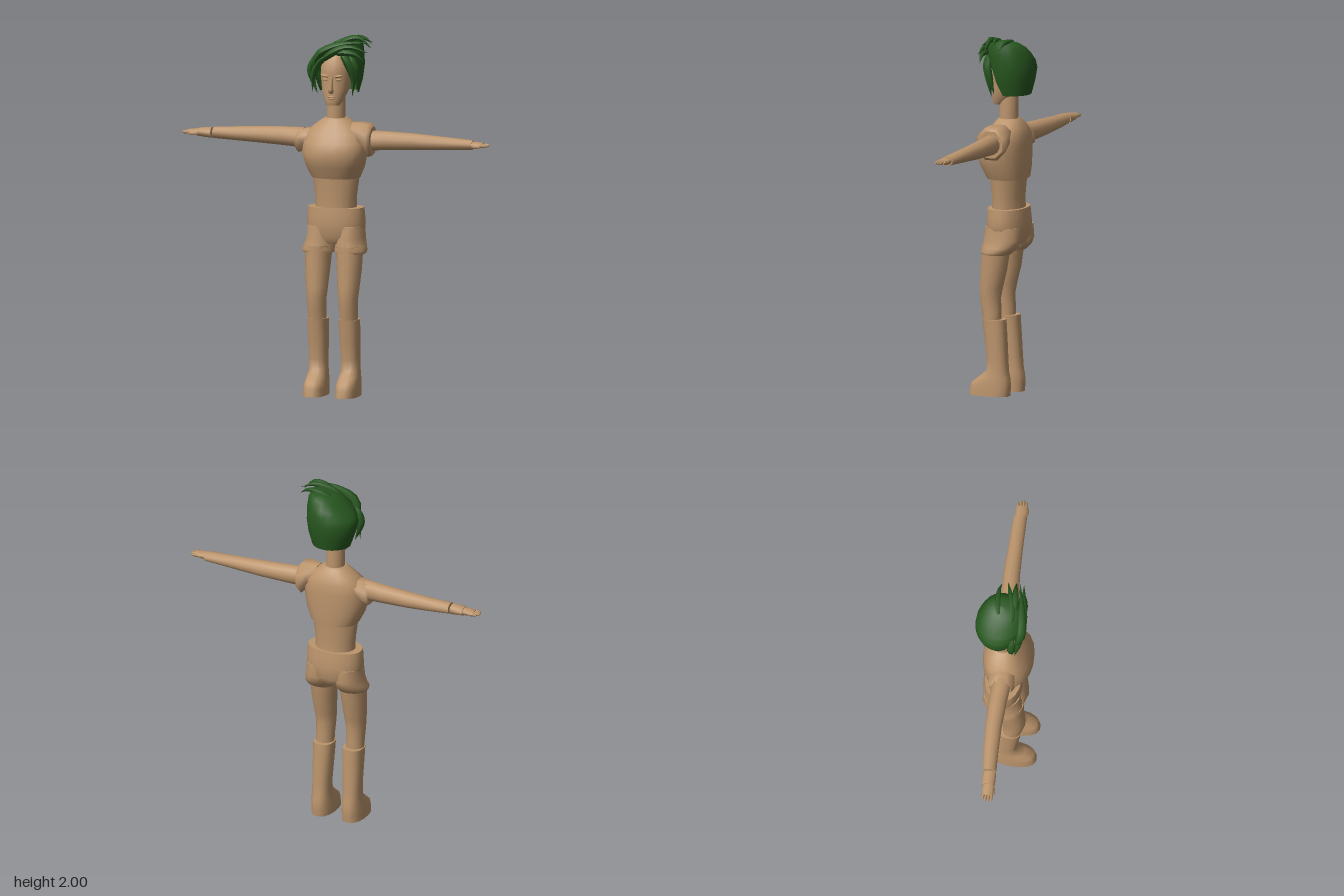
import * as THREE from 'three';

const skin = new THREE.MeshStandardMaterial({ color: 0xbb946c });
skin.name = 'tan skin';
const green = new THREE.MeshStandardMaterial({ color: 0x27561f, side: THREE.DoubleSide });
green.name = 'dark green hair';

// Closed loft. Each ring is [position on axis, a0, a1, z0, z1];
// a is x when the axis is y, and y when the axis is x.
function loft(rings, { axis = 'y', n = 16, power = 2, mirror = 1 } = {}) {
  const pos = [], idx = [];
  const put = (t, a, z) => (axis === 'y' ? pos.push(a * mirror, t, z) : pos.push(t * mirror, a, z));
  const curve = (v) => Math.sign(v) * Math.abs(v) ** (2 / power);
  const ring = ([t, a0, a1, z0, z1]) => {
    for (let i = 0; i < n; i++) {
      const q = ((i + 0.5) / n) * Math.PI * 2;
      put(t, (a0 + a1) / 2 + ((a1 - a0) / 2) * curve(Math.cos(q)),
        (z0 + z1) / 2 + ((z1 - z0) / 2) * curve(Math.sin(q)));
    }
  };
  rings.forEach(ring);
  for (let r = 0; r < rings.length - 1; r++) for (let i = 0; i < n; i++) {
    const a = r * n + i, b = r * n + ((i + 1) % n);
    idx.push(a, a + n, b, b, a + n, b + n);
  }
  // end caps have their own corners, so their edges stay sharp
  [rings[0], rings[rings.length - 1]].forEach((g, end) => {
    const s = pos.length / 3;
    ring(g);
    put(g[0], (g[1] + g[2]) / 2, (g[3] + g[4]) / 2);
    for (let i = 0; i < n; i++) {
      const a = s + i, b = s + ((i + 1) % n);
      end ? idx.push(s + n, b, a) : idx.push(s + n, a, b);
    }
  });
  // turn the faces outwards
  const P = (i) => new THREE.Vector3().fromArray(pos, i * 3);
  let volume = 0;
  for (let i = 0; i < idx.length; i += 3) volume += P(idx[i]).dot(P(idx[i + 1]).cross(P(idx[i + 2])));
  if (volume < 0) idx.reverse();
  const geo = new THREE.BufferGeometry();
  geo.setAttribute('position', new THREE.Float32BufferAttribute(pos, 3));
  geo.setIndex(idx);
  geo.computeVertexNormals();
  return geo;
}

// Hair shell, open over the face. Rows: [y, x0, x1, z0, z1, half opening, sideways slope]
function hairShell(rows, n = 20) {
  const pos = [], idx = [];
  rows.forEach(([y, x0, x1, z0, z1, open, slope], r) => {
    for (let i = 0; i <= n; i++) {
      const q = (i / n * 2 - 1) * (Math.PI - open);
      const dx = ((x1 - x0) / 2) * Math.sin(q);
      pos.push((x0 + x1) / 2 + dx, y + slope * dx, (z0 + z1) / 2 - ((z1 - z0) / 2) * Math.cos(q));
      if (r && i) {
        const b = r * (n + 1) + i, a = b - n - 1;
        idx.push(a - 1, b - 1, a, a, b - 1, b);
      }
    }
  });
  const geo = new THREE.BufferGeometry();
  geo.setAttribute('position', new THREE.Float32BufferAttribute(pos, 3));
  geo.setIndex(idx.reverse());
  geo.computeVertexNormals();
  return geo;
}

// Lock of hair: a tube that narrows to a point at its tip
function lock(points, width) {
  const path = new THREE.CatmullRomCurve3(points.map((p) => new THREE.Vector3(...p)));
  const steps = 10, sides = 6;
  const geo = new THREE.TubeGeometry(path, steps, width, sides);
  const p = geo.attributes.position, v = new THREE.Vector3();
  for (let i = 0; i < p.count; i++) {
    const t = Math.floor(i / (sides + 1)) / steps;
    const c = path.getPointAt(t);
    v.fromBufferAttribute(p, i).sub(c).multiplyScalar(Math.sin(Math.PI * t ** 0.6)).add(c);
    p.setXYZ(i, v.x, v.y, v.z);
  }
  geo.computeVertexNormals();
  return geo;
}

export function createModel() {
  const model = new THREE.Group();
  const add = (name, geo, mat = skin) => {
    const mesh = new THREE.Mesh(geo, mat);
    mesh.name = name;
    model.add(mesh);
    return mesh;
  };
  const blob = (name, x, y, z, sx, sy, sz) => {
    const m = add(name, new THREE.SphereGeometry(1, 10, 8));
    m.position.set(x, y, z);
    m.scale.set(sx, sy, sz);
    return m;
  };

  // trunk
  add('chest', loft([
    [1.205, -.135, .135, -.125, .095], [1.27, -.165, .165, -.13, .125], [1.34, -.182, .182, -.13, .15],
    [1.4, -.18, .18, -.13, .125], [1.45, -.165, .165, -.125, .1], [1.49, -.125, .125, -.11, .07],
    [1.52, -.085, .085, -.09, .05], [1.535, -.06, .06, -.075, .038]], { n: 20, power: 2.3 }));
  add('waist', loft([
    [1.03, -.115, .115, -.105, .07], [1.1, -.117, .117, -.102, .07], [1.21, -.132, .132, -.11, .08]], { n: 20 }));
  add('neck', loft([[1.52, -.052, .052, -.07, .037], [1.66, -.05, .05, -.07, .035]]));

  // shorts
  add('shortsHips', loft([
    [.84, -.1, .1, -.1, .06], [.88, -.155, .155, -.128, .085], [.95, -.165, .165, -.13, .09],
    [1.0, -.162, .162, -.125, .088], [1.04, -.158, .158, -.12, .085]], { n: 20, power: 2.2 }));

  for (const [side, s] of [['left', 1], ['right', -1]]) {
    const up = { mirror: s };
    const out = { axis: 'x', mirror: s, n: 12 };

    // legs
    add(side + 'ShortsLeg', loft([
      [.79, .004, .178, -.068, .094], [.805, .002, .185, -.085, .102], [.83, .002, .176, -.11, .096],
      [.87, .002, .166, -.126, .09], [.94, .01, .16, -.12, .08]], up));
    add(side + 'Leg', loft([
      [.4, .04, .142, -.01, .088], [.47, .04, .143, -.012, .1], [.54, .036, .146, -.008, .112],
      [.6, .03, .152, -.02, .111], [.7, .022, .16, -.045, .106], [.83, .012, .165, -.065, .1]], up));
    add(side + 'Boot', loft([
      [0, .03, .155, -.064, .175], [.04, .031, .154, -.068, .17], [.07, .033, .152, -.068, .158],
      [.105, .037, .148, -.064, .112], [.14, .041, .144, -.056, .07], [.2, .041, .144, -.052, .066],
      [.3, .036, .146, -.046, .078], [.425, .032, .148, -.038, .095]], { ...up, power: 2.4 }));

    // arms; the right one has a narrow gap before its wrist cuff
    const cut = s > 0 ? .79 : .706;
    add(side + 'Arm', loft([
      [.18, 1.358, 1.472, -.062, .045], [.3, 1.365, 1.469, -.07, .033], [.45, 1.372, 1.463, -.073, .022],
      [.6, 1.38, 1.454, -.065, .02], [cut, s > 0 ? 1.39 : 1.386, s > 0 ? 1.442 : 1.449, -.054, .022]], out));
    if (s < 0) add('rightWristCuff', loft([
      [.716, 1.386, 1.447, -.054, .022], [.79, 1.394, 1.44, -.052, .024]], out));

    // hands
    add(side + 'Palm', loft([
      [.785, 1.395, 1.437, -.045, .018], [.82, 1.4, 1.434, -.046, .022], [.85, 1.404, 1.43, -.044, .018]], out));
    for (let i = 0; i < 4; i++) {
      const z = -.036 + i * .0155, tip = .872 + (i === 1 || i === 2 ? .012 : i === 3 ? .005 : 0);
      add(side + 'Finger', loft([
        [.84, 1.405, 1.429, z - .008, z + .008], [tip - .008, 1.407, 1.425, z - .007, z + .007],
        [tip, 1.411, 1.42, z - .003, z + .003]], { ...out, n: 6 }));
    }
    add(side + 'Thumb', loft([
      [.795, 1.4, 1.425, .004, .022], [.825, 1.4, 1.42, .012, .028], [.842, 1.404, 1.414, .016, .024]], { ...out, n: 6 }));

    // eyes and brows
    blob(side + 'Brow', s * .036, 1.773, .062, .03, .008, .013).rotation.z = s * .15;
    blob(side + 'Eye', s * .036, 1.752, .056, .018, .007, .013);
  }

  // shoulder caps
  add('leftShoulder', loft([
    [.1, 1.41, 1.515, -.085, .05], [.15, 1.37, 1.52, -.098, .075], [.2, 1.32, 1.515, -.1, .09],
    [.216, 1.335, 1.495, -.085, .07]], { axis: 'x', n: 8 }));
  add('rightShoulder', loft([
    [.12, 1.39, 1.475, -.08, .055], [.16, 1.35, 1.475, -.085, .065], [.205, 1.33, 1.467, -.082, .065],
    [.22, 1.342, 1.455, -.07, .05]], { axis: 'x', n: 8, mirror: -1 }));

  // head
  add('head', loft([
    [1.61, -.038, .038, .005, .068], [1.635, -.052, .052, -.03, .076], [1.69, -.073, .073, -.09, .074],
    [1.75, -.084, .084, -.125, .068], [1.78, -.086, .086, -.135, .074], [1.83, -.083, .083, -.138, .07],
    [1.88, -.062, .062, -.115, .045], [1.91, -.03, .03, -.08, .01]], { n: 20, power: 2.2 }));
  add('nose', loft([
    [1.676, -.011, .011, .055, .078], [1.687, -.017, .017, .055, .095], [1.7, -.013, .013, .055, .094],
    [1.775, -.008, .008, .055, .077]], { n: 8 }));
  blob('upperLip', 0, 1.659, .07, .024, .005, .01);
  blob('lowerLip', 0, 1.649, .07, .02, .006, .01);

  // hair
  add('hairShell', hairShell([
    [1.675, -.1, .12, -.148, .07, 1.55, 0], [1.75, -.125, .14, -.166, .075, 1.2, 0],
    [1.82, -.142, .15, -.175, .085, 1.0, .04], [1.87, -.13, .15, -.17, .09, .6, .15],
    [1.91, -.105, .145, -.155, .09, 0, .3], [1.945, -.06, .13, -.13, .07, 0, .3],
    [1.967, -.01, .1, -.09, .04, 0, .25], [1.975, .049, .051, -.031, -.029, 0, 0]]), green);
  const locks = [
    [.026, [-.1, 1.8, .06], [-.07, 1.89, .085], [.05, 1.95, .075], [.2, 1.965, .05]],
    [.024, [-.08, 1.84, .07], [0, 1.9, .085], [.1, 1.94, .08], [.215, 1.91, .07]],
    [.02, [.02, 1.9, .08], [.08, 1.91, .085], [.14, 1.9, .08], [.19, 1.86, .07]],
    [.02, [-.03, 1.925, .03], [.07, 1.97, .02], [.14, 1.985, 0], [.21, 1.96, -.02]],
    [.02, [-.02, 1.93, -.04], [.08, 1.97, -.06], [.15, 1.975, -.06], [.2, 1.94, -.05]],
    [.018, [.03, 1.95, .04], [.1, 1.98, .035], [.15, 1.985, .03], [.22, 1.93, .03]],
    [.022, [.02, 1.91, .075], [-.05, 1.87, .08], [-.1, 1.79, .07], [-.115, 1.68, .055]],
    [.022, [-.1, 1.88, .04], [-.13, 1.8, .035], [-.115, 1.74, .04], [-.085, 1.67, .05]],
    [.024, [.05, 1.91, .07], [.095, 1.85, .07], [.12, 1.76, .05], [.11, 1.66, .035]],
    [.022, [.1, 1.89, .06], [.13, 1.83, .05], [.135, 1.76, .03], [.13, 1.68, .01]],
  ];
  for (const [w, ...points] of locks) add('hairLock', lock(points, w), green);

  return model;
}
